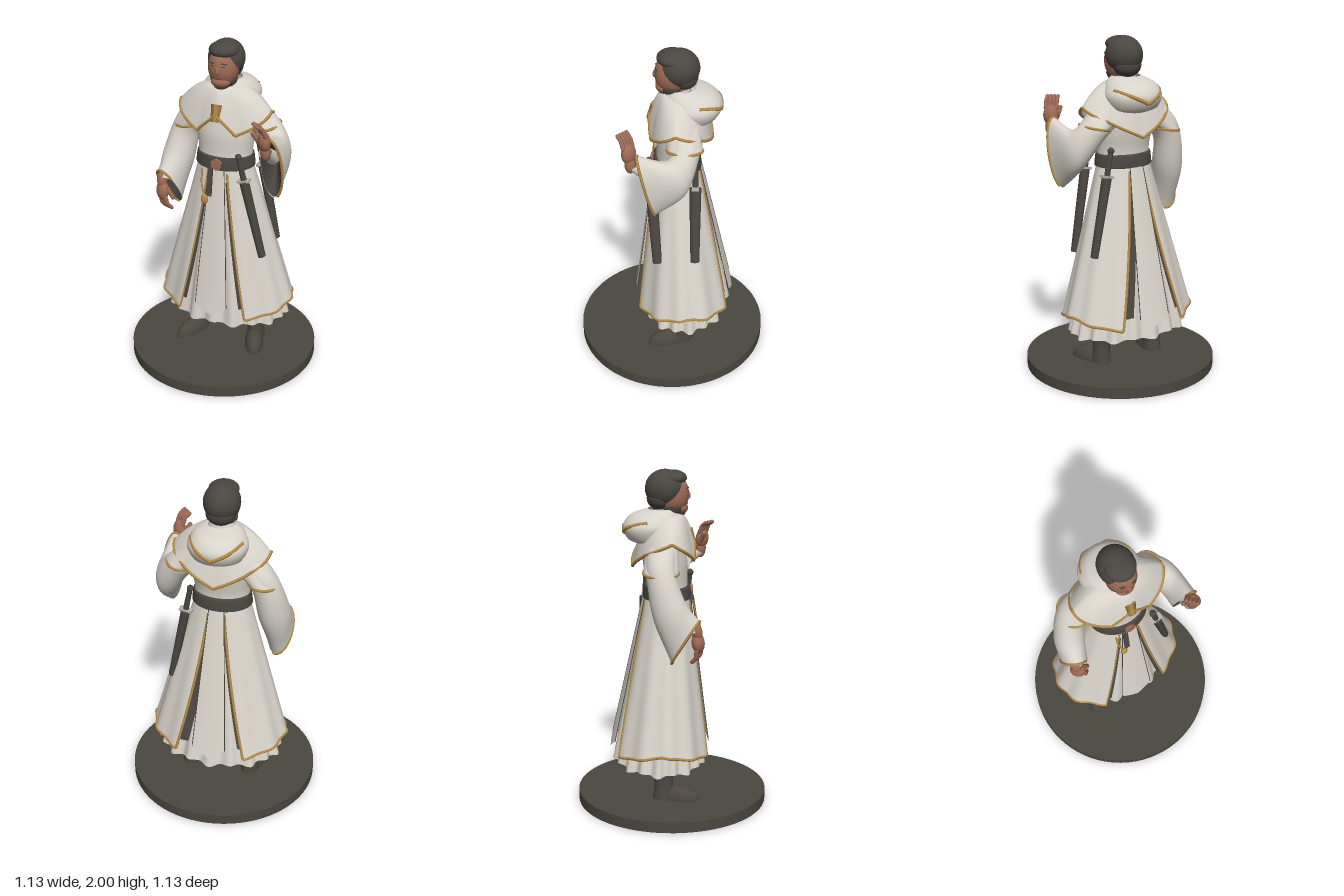
import * as THREE from 'three';
import { mergeVertices } from 'three/addons/utils/BufferGeometryUtils.js';

const V = (x, y, z) => new THREE.Vector3(x, y, z);
const lerp = THREE.MathUtils.lerp, rad = THREE.MathUtils.degToRad;

function paint(name, color) {
  const m = new THREE.MeshStandardMaterial({ color, side: THREE.DoubleSide });
  m.name = name;
  return m;
}

// Piecewise linear lookup in [[x, y], ...]
function lookup(table, x) {
  for (let i = 1; i < table.length; i++) {
    const [x0, y0] = table[i - 1], [x1, y1] = table[i];
    if (x <= x1) return lerp(y0, y1, (x - x0) / (x1 - x0));
  }
  return table[table.length - 1][1];
}

export function createModel() {
  const model = new THREE.Group();
  const cream = paint('cream cloth', 0xd9d4cb);
  const gold = paint('gold trim', 0xb48c48);
  const skin = paint('skin', 0x9e6a56);
  const hair = paint('hair', 0x4a4641);
  const leather = paint('dark leather', 0x4b4640);
  const stone = paint('base stone', 0x4b4640);
  const steel = paint('steel', 0xb4b0aa);

  function add(name, geo, mat, pos = [0, 0, 0], scale = [1, 1, 1], rot = [0, 0, 0], parent = model) {
    const m = new THREE.Mesh(geo, mat);
    m.name = name;
    m.position.set(...pos);
    m.scale.set(...scale);
    m.rotation.set(...rot);
    parent.add(m);
    return m;
  }
  const ball = (name, mat, pos, scale, rot, parent) =>
    add(name, new THREE.SphereGeometry(1, 28, 20), mat, pos, scale, rot, parent);

  // Smooth sheet from a rule fn(u, v) -> point
  function sheet(name, fn, nu, nv, mat) {
    let g = new THREE.PlaneGeometry(1, 1, nu, nv);
    const p = g.attributes.position;
    for (let i = 0; i < p.count; i++) {
      const q = fn(p.getX(i) + 0.5, 0.5 - p.getY(i));
      p.setXYZ(i, q.x, q.y, q.z);
    }
    g.deleteAttribute('uv');
    g.deleteAttribute('normal');
    g = mergeVertices(g, 1e-5);
    g.computeVertexNormals();
    return add(name, g, mat);
  }
  // Loft through elliptic rings [centre, axisA, axisB]
  function loft(name, rings, mat, nv = 20) {
    const curves = [0, 1, 2].map(k => new THREE.CatmullRomCurve3(rings.map(r => V(...r[k]))));
    return sheet(name, (u, v) => {
      const [c, a, b] = curves.map(k => k.getPoint(v)), t = u * Math.PI * 2;
      return c.addScaledVector(a, Math.cos(t)).addScaledVector(b, Math.sin(t));
    }, 36, nv, mat);
  }
  const flat = (y, cz, rx, rz, cx = 0) => [[cx, y, cz], [rx, 0, 0], [0, 0, rz]];
  function cord(name, pts, r, mat, closed = false) {
    const curve = new THREE.CatmullRomCurve3(pts, closed, 'centripetal');
    return add(name, new THREE.TubeGeometry(curve, pts.length * 3, r, 6, closed), mat);
  }
  const along = (n, fn) => Array.from({ length: n + 1 }, (_, i) => fn(i / n));
  // Points on a ring between two angles in degrees
  const arc = ([c, a, b], from, to) => along(24, t => {
    const w = rad(lerp(from, to, t));
    return V(...c).addScaledVector(V(...a), Math.cos(w)).addScaledVector(V(...b), Math.sin(w));
  });

  // Base disc
  add('base', new THREE.CylinderGeometry(0.567, 0.567, 0.065, 72), stone, [0, 0.0325, 0]);

  // Boots
  for (const s of [-1, 1]) {
    loft('bootShaft', [flat(0.42, -0.08, 0.055, 0.06, s * 0.16), flat(0.27, -0.075, 0.052, 0.06, s * 0.175),
      flat(0.16, -0.07, 0.048, 0.055, s * 0.185), flat(0.067, -0.07, 0.055, 0.065, s * 0.187)], leather);
    const foot = [s * 0.205, 0.067, 0.005], turn = [0, s * 0.35, 0];
    add('bootFoot', new THREE.SphereGeometry(1, 28, 12, 0, Math.PI * 2, 0, Math.PI / 2), leather,
      foot, [0.057, 0.075, 0.135], turn);
    add('bootSole', new THREE.CylinderGeometry(1, 1, 0.016, 28), leather, foot, [0.06, 1, 0.138], turn);
  }

  // Skirt layers share one flaring rule: angle 0 is the front
  function skirt(angle, y, off = 0, pleat = 0.006, n = 18) {
    const t = (1.27 - y) / 0.93, r = off + pleat * t * Math.cos(n * angle);
    return V(Math.sin(angle) * (0.162 + 0.262 * t + r), y,
      -0.03 - 0.045 * t + Math.cos(angle) * (0.13 + 0.16 * t + r));
  }
  sheet('underRobe', (u, v) => {
    const a = u * Math.PI * 2;
    const p = skirt(a, lerp(1.27, 0.265 + 0.008 * Math.cos(a * 9), v), -0.015 - 0.06 * v, 0.014);
    p.z += 0.035 * v * Math.cos(a);
    return p;
  }, 144, 20, cream);

  // Side coat panels with gold edging
  const hemY = [[0, 0.33], [30, 0.33], [95, 0.4], [150, 0.34], [180, 0.34]];
  for (const s of [-1, 1]) {
    const panel = (u, v, off = 0) => {
      const deg = lerp(lerp(20, 29, v), lerp(165, 151, v), u);
      const p = skirt(rad(deg), lerp(1.27, lookup(hemY, deg), v), off, 0.008, 12);
      p.x *= s;
      return p;
    };
    sheet('coatPanel', panel, 60, 20, cream);
    cord('coatHemTrim', along(40, t => panel(t, 1)), 0.008, gold);
    cord('coatFrontTrim', along(12, t => panel(0, lerp(0.04, 1, t))), s > 0 ? 0.007 : 0.005, gold);
    cord('coatBackTrim', along(12, t => panel(1, lerp(0.04, 1, t))), 0.008, gold);
    // Dark insides of the slits, widest on the sword side at the back
    const slit = (name, u0, u1) => sheet(name, (u, v) => panel(lerp(u0, u1, u), lerp(0.1, 0.93, v), -0.004), 4, 12, leather);
    slit('frontSlit', -0.03, 0);
    slit('backSlit', 1, s > 0 ? 1.07 : 1.025);
  }

  // Pointed centre panels, front and back
  for (const turn of [0, Math.PI]) {
    const panel = (u, v) => {
      const k = u * 2 - 1, a = turn + rad(k * lerp(15, 14, v));
      return skirt(a, lerp(1.27, 0.34 + 0.055 * Math.abs(k), v), 0.008, 0);
    };
    sheet(turn ? 'backTabard' : 'frontTabard', panel, 20, 20, cream);
    for (const u of [0, 1]) cord('tabardEdge', along(10, t => panel(u, t)), 0.0025, leather);
  }

  // Torso, collar and belt
  loft('torso', [flat(1.24, -0.03, 0.165, 0.13), flat(1.34, -0.03, 0.163, 0.12), flat(1.46, -0.04, 0.178, 0.13),
    flat(1.58, -0.05, 0.185, 0.12), flat(1.67, -0.045, 0.13, 0.1), flat(1.74, -0.035, 0.075, 0.075)], cream);
  loft('collar', [flat(1.69, -0.03, 0.1, 0.095), flat(1.74, -0.025, 0.082, 0.08), flat(1.775, -0.025, 0.074, 0.07)], cream, 8);
  loft('belt', [flat(1.25, -0.03, 0.166, 0.13), flat(1.255, -0.03, 0.178, 0.142), flat(1.325, -0.03, 0.17, 0.135),
    flat(1.33, -0.03, 0.158, 0.12)], leather, 12);
  add('buckle', new THREE.CylinderGeometry(0.036, 0.036, 0.016, 6), skin, [0, 1.29, 0.113], [1, 1, 1], [Math.PI / 2, 0, 0]);
  add('beltStrap', new THREE.BoxGeometry(0.03, 0.17, 0.012), leather, [-0.035, 1.18, 0.13], [1, 1, 1], [-0.15, 0, 0]);
  ball('beltCharm', gold, [-0.06, 1.075, 0.15], [0.022, 0.033, 0.014]);
  cord('charmCord', [V(-0.09, 1.25, 0.11), V(-0.085, 1.16, 0.13), V(-0.06, 1.09, 0.15)], 0.006, gold);

  // Shoulder cape with gold hem
  const capeHem = [[0, 1.6], [25, 1.49], [55, 1.55], [90, 1.61], [135, 1.54], [180, 1.44]];
  const cape = (u, v) => {
    const a = (u * 2 - 1) * Math.PI, c = Math.cos(a);
    const y = lerp(1.745, lookup(capeHem, Math.abs(a) * 180 / Math.PI), v ** 1.6);
    const k = v ** 0.85;
    return V(Math.sin(a) * lerp(0.082, 0.28, k), y, -0.03 + c * lerp(0.08, c > 0 ? 0.158 : 0.2, k));
  };
  sheet('shoulderCape', cape, 72, 16, cream);
  cord('capeTrim', along(72, t => cape(t, 1)).slice(0, -1), 0.009, gold, true);
  add('capeClasp', new THREE.CylinderGeometry(0.034, 0.024, 0.1, 4), gold, [0, 1.61, 0.122], [1, 1, 0.35], [-0.3, 0, 0]);

  // Lowered hood with a gold chevron lying on its back
  loft('hood', [flat(1.775, -0.06, 0.085, 0.08), flat(1.74, -0.1, 0.14, 0.14), flat(1.675, -0.12, 0.175, 0.165),
    flat(1.6, -0.12, 0.15, 0.135), flat(1.56, -0.1, 0.05, 0.05)], cream);
  cord('hoodTrim', along(16, t => {
    const x = lerp(-0.148, 0.148, t), y = 1.64 + 0.48 * Math.abs(x);
    const rx = lookup([[1.6, 0.15], [1.675, 0.175], [1.74, 0.14]], y);
    return V(x, y, lerp(-0.12, -0.105, (y - 1.64) / 0.085) - (rx - 0.006) * Math.sqrt(1 - (x / rx) ** 2));
  }), 0.012, gold);

  // Wide sleeves: the last ring is the opening; capRing ends the short upper layer
  function sleeve(side, rings, capRing, cuff, trimFrom, trimTo) {
    loft(side + 'Sleeve', rings, cream, 28);
    const rim = rings[rings.length - 1];
    cord(side + 'SleeveTrim', arc(rim, trimFrom, trimTo), 0.008, gold);
    // Dark lining narrowing inwards
    const shrink = (p, k) => p.map(n => n * k), [c, a, b] = rim, [c2, a2, b2] = rings[rings.length - 2];
    loft(side + 'SleeveLining', [[c, shrink(a, 0.97), shrink(b, 0.97)],
      [c.map((n, i) => lerp(n, c2[i], 0.4)), shrink(a, 0.6), shrink(b, 0.6)], [c2, shrink(a2, 0.05), shrink(b2, 0.05)]], leather, 8);
    const [q, e, f] = rings[0];
    loft(side + 'ShoulderCap', [[q, shrink(e, 1.08), shrink(f, 1.08)], capRing], cream, 8);
    cord(side + 'ShoulderTrim', arc(capRing, 0, 360).slice(0, -1), 0.008, gold, true);
    // Inner cuff around the wrist
    loft(side + 'Cuff', cuff, cream, 8);
  }
  sleeve('left', [
    [[0.13, 1.58, -0.07], [0, 0, 0.09], [0.05, 0.075, 0]],
    [[0.245, 1.48, -0.08], [0, 0, 0.085], [0.06, 0.055, 0]],
    [[0.32, 1.37, -0.02], [-0.04, 0.08, 0.07], [0.055, 0.08, -0.01]],
    [[0.345, 1.33, 0.13], [-0.045, 0.14, 0.035], [0.045, 0.14, 0.035]],
  ], [[0.235, 1.5, -0.08], [0, 0, 0.1], [0.075, 0.015, 0]],
  [[[0.335, 1.38, 0.08], [0.04, 0, 0], [0, 0.03, -0.03]], [[0.33, 1.46, 0.2], [0.038, 0, 0], [0, 0.02, -0.035]]], 20, 205);
  sleeve('right', [
    [[-0.13, 1.58, -0.07], [0, 0, 0.09], [-0.05, 0.075, 0]],
    [[-0.255, 1.45, -0.09], [0, 0, 0.085], [-0.07, 0.04, 0]],
    [[-0.31, 1.24, -0.05], [0, 0.05, 0.09], [-0.088, 0.02, 0]],
    [[-0.335, 1.06, 0.04], [-0.03, 0.125, 0.07], [-0.068, -0.02, -0.04]],
  ], [[-0.25, 1.445, -0.09], [0, 0, 0.1], [-0.085, -0.012, 0]],
  [[[-0.33, 1.22, 0.02], [0.042, 0, 0], [0, 0.02, 0.035]], [[-0.345, 1.13, 0.09], [0.04, 0, 0], [0, 0.02, 0.035]]], -60, 180);

  // Hands: fingers point up locally, palm faces +z
  function hand(name, pos, rot, s) {
    const g = new THREE.Group();
    g.name = name;
    g.position.set(...pos);
    g.rotation.set(...rot);
    model.add(g);
    ball('wrist', skin, [0, 0.01, 0], [0.033, 0.055, 0.03], undefined, g);
    ball('palm', skin, [0, 0.075, 0.005], [0.046, 0.06, 0.034], undefined, g);
    for (let i = 0; i < 4; i++) {
      const x = (i - 1.5) * 0.021, len = 0.05 - Math.abs(i - 1.4) * 0.007;
      add('finger', new THREE.CapsuleGeometry(0.0125, len, 4, 8), skin, [x, 0.135, 0.014], [1, 1, 1], [0.3, 0, 0], g);
      add('fingertip', new THREE.CapsuleGeometry(0.0115, 0.03, 4, 8), skin, [x, 0.172, 0.038], [1, 1, 1], [0.9, 0, 0], g);
    }
    add('thumb', new THREE.CapsuleGeometry(0.014, 0.06, 4, 8), skin, [s * 0.038, 0.09, 0.036], [1, 1, 1], [0.5, 0, -s * 0.2], g);
  }
  hand('leftHand', [0.34, 1.46, 0.215], [0.1, -0.8, 0.06], -1);
  hand('rightHand', [-0.355, 1.135, 0.1], [Math.PI - 0.15, 0.6, -0.06], 1);

  // Head
  ball('neck', skin, [0, 1.75, -0.03], [0.06, 0.08, 0.06]);
  ball('face', skin, [0, 1.855, 0], [0.089, 0.122, 0.098]);
  ball('chin', skin, [0, 1.778, 0.043], [0.058, 0.04, 0.05]);
  ball('hair', hair, [0, 1.89, -0.04], [0.105, 0.11, 0.116]);
  ball('fringe', hair, [0, 1.95, -0.002], [0.086, 0.046, 0.088]);
  ball('napeHair', hair, [0, 1.835, -0.07], [0.085, 0.07, 0.076]);
  ball('beard', hair, [0, 1.785, 0.0], [0.079, 0.062, 0.072]);
  ball('beardTip', hair, [0, 1.752, 0.038], [0.044, 0.024, 0.042]);
  ball('nose', skin, [0, 1.853, 0.092], [0.012, 0.027, 0.015], [-0.25, 0, 0]);
  add('mouth', new THREE.BoxGeometry(0.036, 0.004, 0.004), hair, [0, 1.802, 0.089]);
  for (const s of [-1, 1]) {
    add('eyebrow', new THREE.BoxGeometry(0.034, 0.006, 0.006), hair, [s * 0.036, 1.894, 0.086], [1, 1, 1], [0, s * 0.35, -s * 0.08]);
    add('eye', new THREE.BoxGeometry(0.02, 0.005, 0.005), hair, [s * 0.034, 1.878, 0.089], [1, 1, 1], [0, s * 0.35, 0]);
  }

  // Two sheathed blades on the left hip
  function blade(name, top, tip) {
    const g = new THREE.Group(), a = V(...top), b = V(...tip), len = a.distanceTo(b);
    g.name = name;
    g.position.copy(a);
    g.quaternion.setFromUnitVectors(V(0, -1, 0), b.clone().sub(a).normalize());
    model.add(g);
    add('scabbard', new THREE.CylinderGeometry(0.034, 0.027, len - 0.16, 12), leather, [0, -0.16 - (len - 0.16) / 2, 0], [0.8, 1, 1], [0, 0, 0], g);
    add('grip', new THREE.CylinderGeometry(0.015, 0.017, 0.15, 12), leather, [0, -0.075, 0], [1, 1, 1], [0, 0, 0], g);
    add('guard', new THREE.BoxGeometry(0.075, 0.014, 0.04), steel, [0, -0.155, 0], [1, 1, 1], [0, 0, 0], g);
    ball('pommel', leather, [0, -0.005, 0], [0.02, 0.02, 0.02], undefined, g);
  }
  blade('frontBlade', [0.14, 1.37, 0.125], [0.275, 0.73, 0.075]);
  blade('rearBlade', [0.16, 1.37, -0.14], [0.282, 0.75, -0.145]);

  return model;
}
